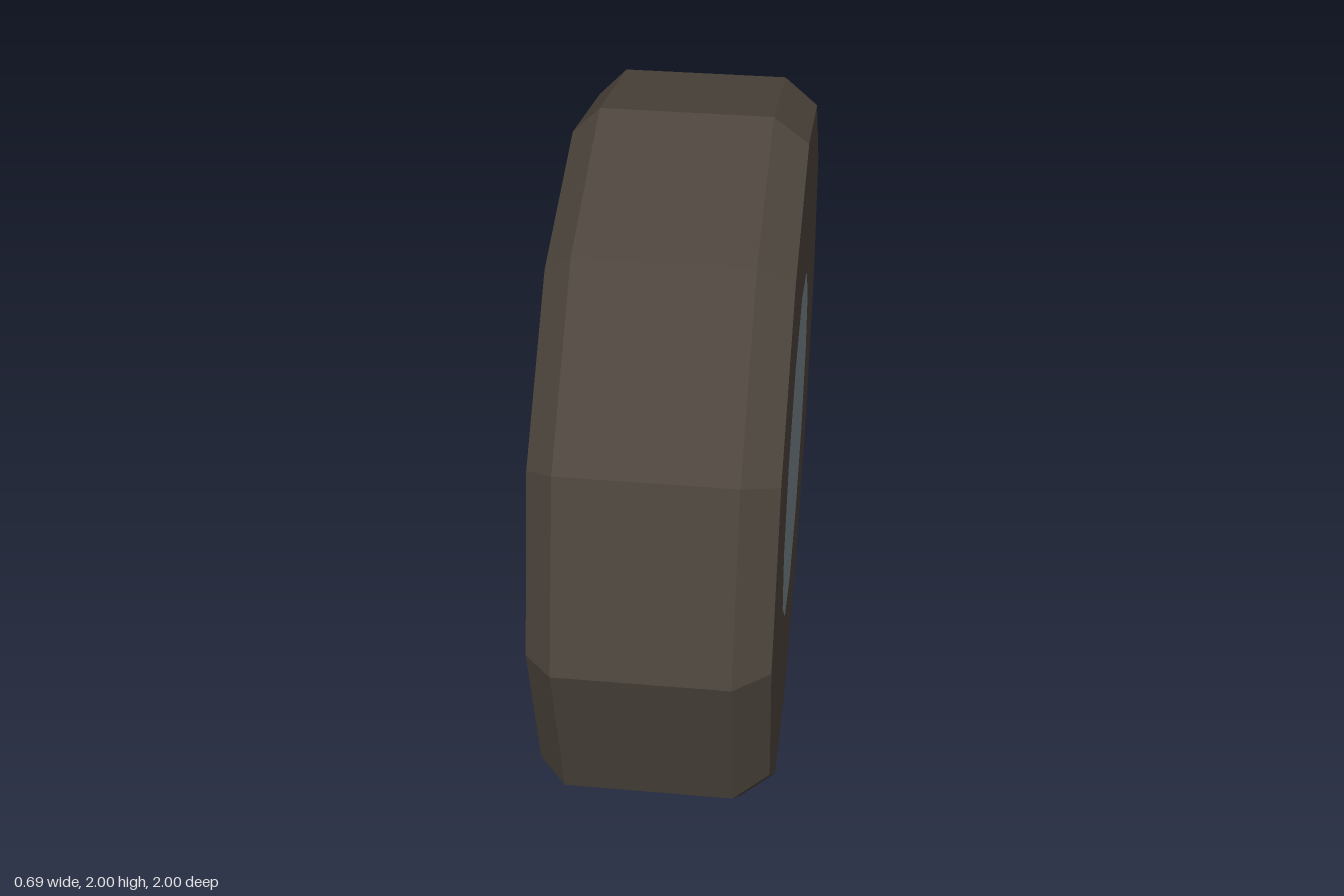
import * as THREE from 'three';

const rubber = new THREE.MeshStandardMaterial({ color: 0x4d453d, flatShading: true });
rubber.name = 'rubber';
const metal = new THREE.MeshStandardMaterial({ color: 0x7b868d, flatShading: true });
metal.name = 'steel';

// Faceted solid of revolution; each point is [radius, distance along the axle]
function turned(name, points, sides, material) {
  const profile = points.map(([r, a]) => new THREE.Vector2(r, a));
  const mesh = new THREE.Mesh(new THREE.LatheGeometry(profile, sides), material);
  mesh.name = name;
  return mesh;
}

export function createModel() {
  const model = new THREE.Group();
  model.name = 'wheel';

  // Everything is turned about y, then laid over so the outer side faces -x
  const axle = new THREE.Group();
  axle.name = 'wheelAssembly';
  axle.rotation.z = Math.PI / 2;
  axle.position.y = 1;
  model.add(axle);

  // Tyre with chamfered shoulders
  axle.add(turned('tyre', [
    [0.48, -0.34], [0.93, -0.34], [1, -0.25], [1, 0.185], [0.93, 0.255], [0.62, 0.255],
  ], 12, rubber));

  // Flat inner plate, flush with the tyre wall
  axle.add(turned('innerPlate', [[0, -0.34], [0.48, -0.34]], 12, metal));

  // Rim lip, groove and raised disc
  axle.add(turned('rim', [
    [0.62, 0.255], [0.56, 0.235], [0.54, 0.16], [0.52, 0.16], [0.47, 0.235], [0, 0.235],
  ], 12, metal));

  // Hub cone and its cap
  axle.add(turned('hub', [[0.285, 0.235], [0.215, 0.315], [0, 0.315]], 8, metal));
  axle.add(turned('hubCap', [[0.125, 0.315], [0.105, 0.35], [0, 0.35]], 8, metal));

  // Six wheel nuts
  const nutShape = new THREE.CylinderGeometry(0.042, 0.048, 0.07, 6);
  for (let i = 0; i < 6; i++) {
    const angle = (i * Math.PI) / 3;
    const nut = new THREE.Mesh(nutShape, metal);
    nut.name = 'wheelNut';
    nut.position.set(0.365 * Math.sin(angle), 0.264, 0.365 * Math.cos(angle));
    nut.rotation.y = Math.PI / 6;
    axle.add(nut);
  }

  return model;
}
